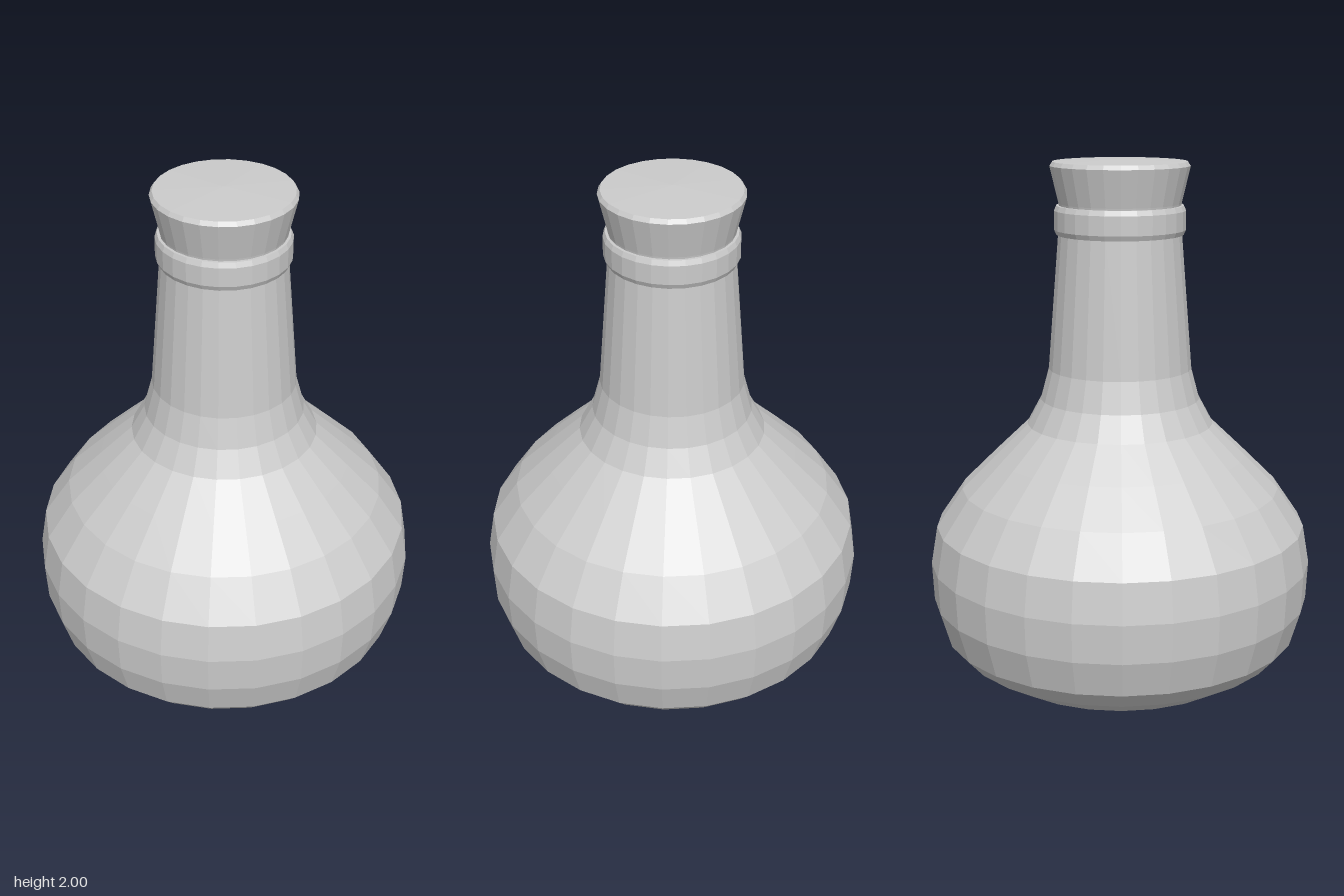
import * as THREE from 'three';

const SIDES = 26;
const material = new THREE.MeshStandardMaterial({ color: 0xcccccc, flatShading: true });

// Revolve [radius, height] points, listed from bottom to top
function turned(name, profile) {
  const points = profile.map(([r, y]) => new THREE.Vector2(r, y));
  const mesh = new THREE.Mesh(new THREE.LatheGeometry(points, SIDES), material);
  mesh.name = name;
  return mesh;
}

export function createModel() {
  const flask = new THREE.Group();
  flask.name = 'corkedFlask';

  // Rounded belly, shoulder and tapering neck
  flask.add(turned('bottle', [
    [0, 0], [0.315, 0.018], [0.495, 0.062], [0.617, 0.137], [0.678, 0.205],
    [0.718, 0.34], [0.725, 0.485], [0.7, 0.63], [0.601, 0.775], [0.475, 0.9],
    [0.35, 1.02], [0.299, 1.115], [0.268, 1.23], [0.228, 1.73], [0.222, 1.83], [0, 1.83],
  ]));

  // Bevelled collar around the mouth
  flask.add(turned('collar', [
    [0.222, 1.727], [0.234, 1.727], [0.242, 1.745], [0.242, 1.815], [0.234, 1.833], [0.2, 1.833],
  ]));

  // Flared stopper with a slightly domed top
  flask.add(turned('stopper', [
    [0, 1.82], [0.222, 1.82], [0.225, 1.84], [0.257, 1.975], [0.247, 1.99], [0, 2],
  ]));

  return flask;
}
